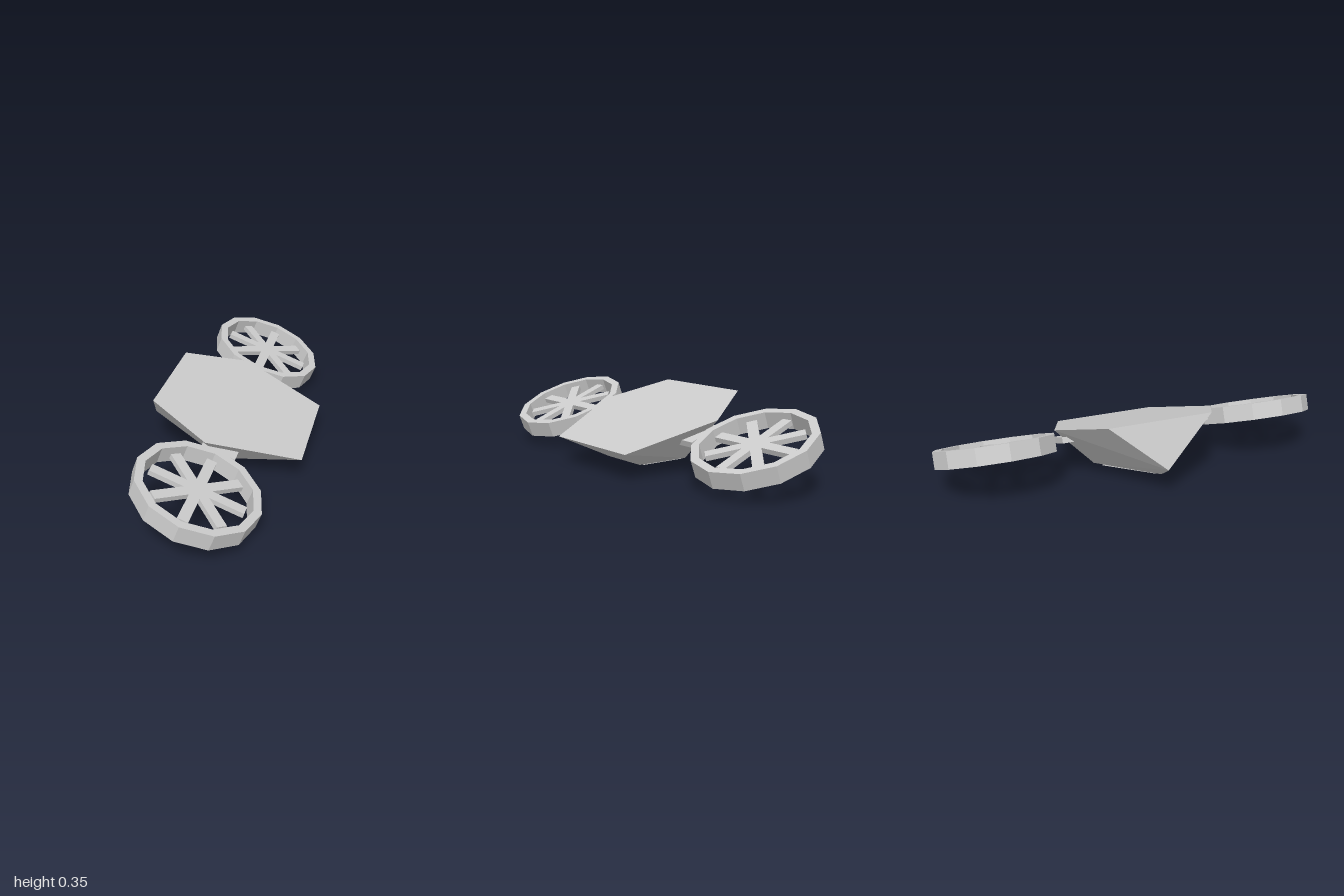
import * as THREE from 'three';
import { ConvexGeometry } from 'three/addons/geometries/ConvexGeometry.js';

const TILT = -0.352; // shared slope of rotors and arms

export function createModel() {
  const model = new THREE.Group();
  const mat = new THREE.MeshStandardMaterial({ color: 0xcccccc, flatShading: true });

  function add(parent, name, geometry, x = 0, y = 0, z = 0) {
    const mesh = new THREE.Mesh(geometry, mat);
    mesh.name = name;
    mesh.position.set(x, y, z);
    parent.add(mesh);
    return mesh;
  }

  // Faceted hull: sloping six-sided deck, pointed tail and narrow belly
  const points = [new THREE.Vector3(-0.405, 0.135, 0), new THREE.Vector3(-0.325, 0.082, 0)];
  for (const s of [1, -1]) {
    points.push(
      new THREE.Vector3(-0.32, 0.355, 0.265 * s),
      new THREE.Vector3(-0.02, 0.264, 0.425 * s),
      new THREE.Vector3(0.405, 0.135, 0.265 * s),
      new THREE.Vector3(-0.005, 0.05, 0.22 * s),
      new THREE.Vector3(0.2, 0.028, 0.12 * s)
    );
  }
  add(model, 'hull', new ConvexGeometry(points));

  // Five-sided belly outlines, extruded downwards
  const outline = (tail, midX, midZ, noseX, noseZ) => [
    [tail, 0], [midX, -midZ], [noseX, -noseZ], [noseX, noseZ], [midX, midZ]
  ].map(([x, z]) => new THREE.Vector2(x, z));
  const extrudeDown = (shape, depth) =>
    new THREE.ExtrudeGeometry(shape, { depth, bevelEnabled: false }).rotateX(Math.PI / 2);

  const belly = new THREE.Group();
  belly.name = 'belly';
  belly.position.y = 0.0485;
  belly.rotation.z = -0.103;
  model.add(belly);

  const frame = new THREE.Shape(outline(-0.27, -0.02, 0.18, 0.16, 0.1));
  frame.holes.push(new THREE.Path(outline(-0.225, -0.02, 0.15, 0.135, 0.085).reverse()));
  add(belly, 'bellyFrame', extrudeDown(frame, 0.019), 0, 0.004);
  add(belly, 'bellyPod', extrudeDown(new THREE.Shape(outline(-0.071, -0.006, 0.045, 0.058, 0.03)), 0.046), 0, 0.004);

  // Twelve-sided rim, with square section
  const R = 0.294, r = 0.255, h = 0.0415;
  const rimProfile = [[r, -h], [R, -h], [R, h], [r, h], [r, -h]].map(([x, y]) => new THREE.Vector2(x, y));
  const rimGeometry = new THREE.LatheGeometry(rimProfile, 12);
  const bladeGeometry = new THREE.BoxGeometry(0.45, 0.025, 0.05);

  // Mirrored rotors and the flat arms reaching towards them
  for (const s of [1, -1]) {
    const side = s > 0 ? 'front' : 'back';
    const rotor = new THREE.Group();
    rotor.name = side + 'Rotor';
    rotor.position.set(0.021, 0.19, 0.706 * s);
    rotor.rotation.z = TILT;
    model.add(rotor);
    add(rotor, 'rim', rimGeometry);
    for (let i = 0; i < 4; i++) {
      add(rotor, 'blade', bladeGeometry, 0, 0.01, 0).rotation.y = i * Math.PI / 4;
    }
    const arm = add(model, side + 'Arm', new THREE.BoxGeometry(0.17, 0.03, 0.3), 0.03, 0.188, 0.245 * s);
    arm.rotation.z = TILT;
  }
  return model;
}
